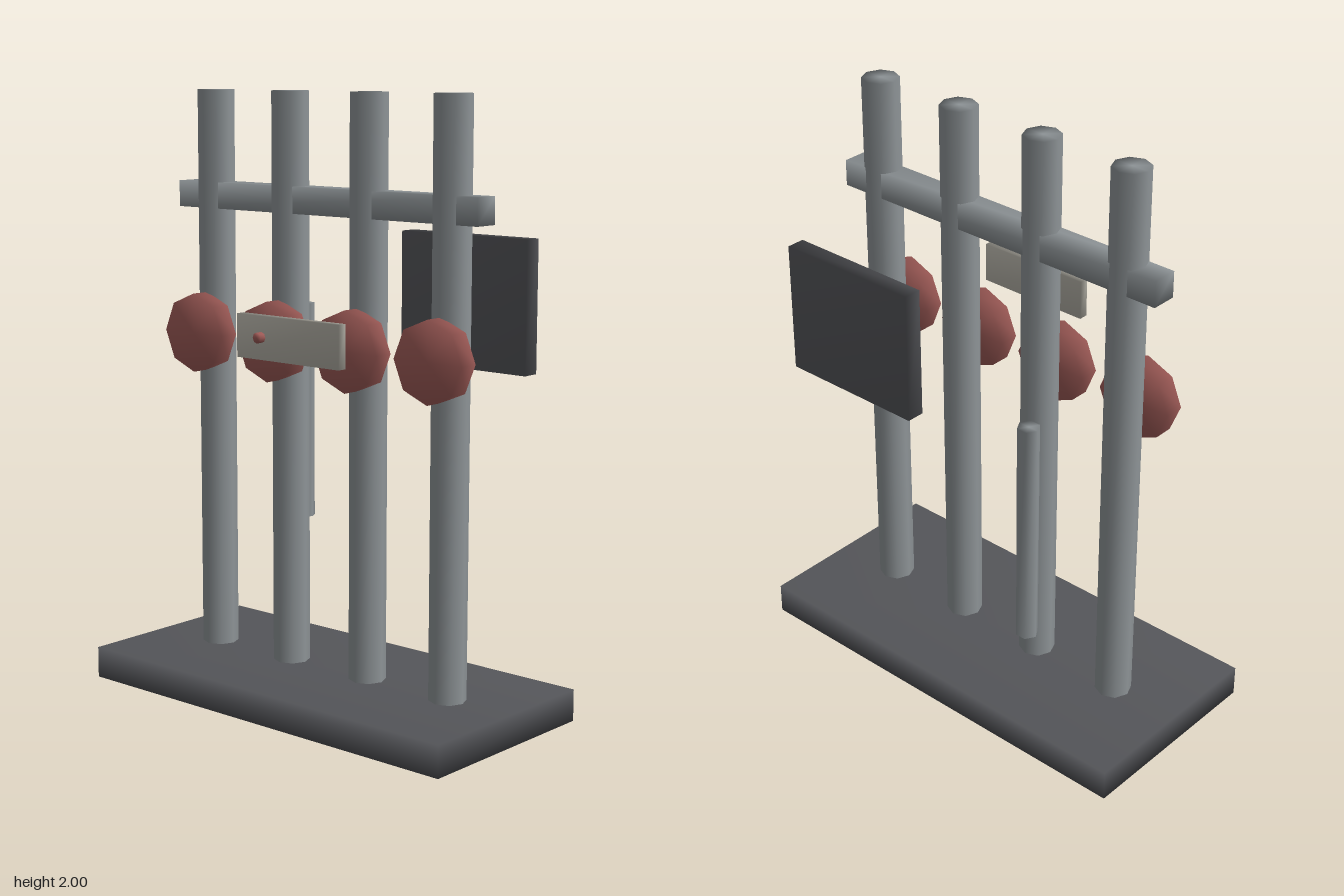
import * as THREE from 'three';
import { mergeVertices } from 'three/addons/utils/BufferGeometryUtils.js';

const material = (color) => new THREE.MeshStandardMaterial({ color });

// Share corners so that shading runs smoothly over the edges
function soften(geometry) {
  geometry.deleteAttribute('normal');
  geometry.deleteAttribute('uv');
  const merged = mergeVertices(geometry, 1e-4);
  merged.computeVertexNormals();
  return merged;
}

export function createModel() {
  const group = new THREE.Group();
  const dark = material(0x55565a);
  const steel = material(0x8f9598);
  const pale = material(0xb5b2a8);
  const red = material(0xa05c58);

  function add(name, geometry, mat, x, y, z) {
    const mesh = new THREE.Mesh(soften(geometry), mat);
    mesh.name = name;
    mesh.position.set(x, y, z);
    group.add(mesh);
  }

  // Box given by its lower and upper corners
  function box(name, mat, [x0, y0, z0], [x1, y1, z1]) {
    add(name, new THREE.BoxGeometry(x1 - x0, y1 - y0, z1 - z0), mat,
      (x0 + x1) / 2, (y0 + y1) / 2, (z0 + z1) / 2);
  }

  // Base slab and cross bar
  box('base', dark, [-0.745, 0, -0.36], [0.745, 0.105, 0.34]);
  box('crossBar', steel, [-0.632, 1.608, -0.055], [0.63, 1.695, 0.032]);

  // Four octagonal posts, each with a disc on its front
  [-0.495, -0.16, 0.174, 0.506].forEach((x, i) => {
    add(`post${i + 1}`, new THREE.CylinderGeometry(0.061, 0.061, 1.9, 8), steel, x, 1.05, -0.008);
    add(`disc${i + 1}`, new THREE.CylinderGeometry(0.132, 0.132, 0.068, 8).rotateX(Math.PI / 2),
      red, x, 1.195, 0.075);
  });

  // Rear panel and upright rod
  box('rearPanel', dark, [0.042, 1.105, -0.395], [0.55, 1.54, -0.334]);
  add('rearRod', new THREE.CylinderGeometry(0.036, 0.036, 0.76, 6).rotateY(Math.PI / 2),
    steel, -0.42, 0.88, -0.363);

  // Front plate with its small stud
  box('frontPlate', pale, [-0.035, 1.19, 0.342], [0.382, 1.326, 0.374]);
  add('stud', new THREE.CylinderGeometry(0.017, 0.017, 0.035, 8).rotateX(Math.PI / 2),
    red, 0.068, 1.26, 0.377);

  return group;
}
